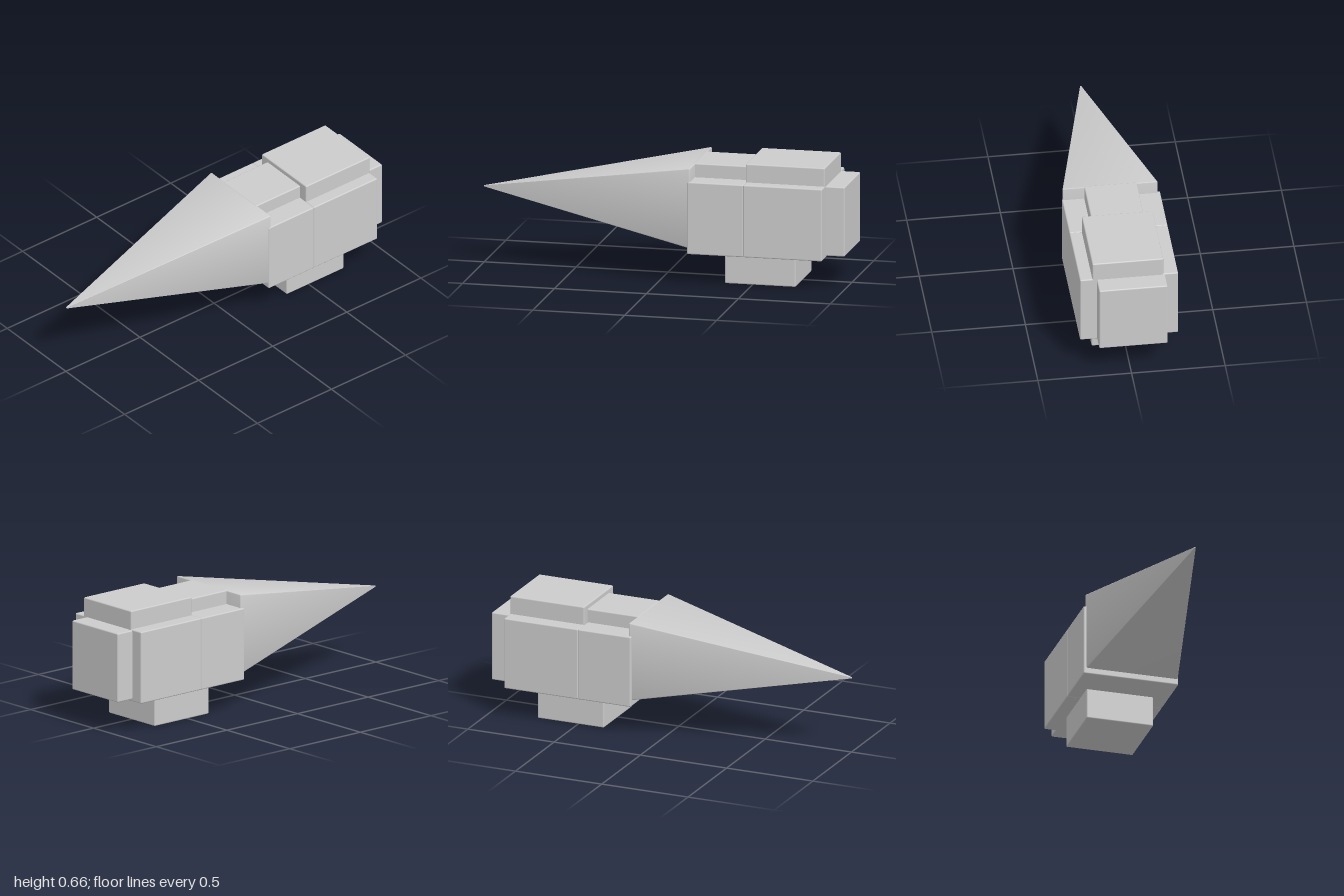
import * as THREE from 'three';
import { RoundedBoxGeometry } from 'three/addons/geometries/RoundedBoxGeometry.js';
import { toCreasedNormals } from 'three/addons/utils/BufferGeometryUtils.js';

const BEVEL = 0.007;

// Softly bevelled box given by its minimum and maximum corners
function bevelledBox([x0, y0, z0], [x1, y1, z1]) {
  const geo = new RoundedBoxGeometry(x1 - x0, y1 - y0, z1 - z0, 2, BEVEL);
  return geo.translate((x0 + x1) / 2, (y0 + y1) / 2, (z0 + z1) / 2);
}

// Bevelled box whose cross-section shrinks evenly to a tiny tip at the front
function taperedSpike(min, max, tip) {
  const geo = bevelledBox(min, max);
  const pos = geo.attributes.position;
  const cx = (min[0] + max[0]) / 2, cy = (min[1] + max[1]) / 2;
  for (let i = 0; i < pos.count; i++) {
    const t = (pos.getZ(i) - min[2]) / (max[2] - min[2]);
    const s = 1 - t * (1 - tip);
    pos.setX(i, cx + (pos.getX(i) - cx) * s);
    pos.setY(i, cy + (pos.getY(i) - cy) * s);
  }
  return toCreasedNormals(geo, 0.6);
}

export function createModel() {
  const model = new THREE.Group();
  model.name = 'blockBird';
  const grey = new THREE.MeshStandardMaterial({ color: 0xcccccc });
  grey.name = 'light grey';

  const add = (name, geo) => {
    const mesh = new THREE.Mesh(geo, grey);
    mesh.name = name;
    model.add(mesh);
  };

  // Blocks: name, minimum corner, maximum corner
  const blocks = [
    ['frontBody', [-0.263, 0.167, -0.47], [0.261, 0.56, -0.163]],
    ['rearBody', [-0.263, 0.167, -0.897], [0.261, 0.56, -0.468]],
    ['topBlock', [-0.184, 0.5, -0.897], [0.195, 0.66, -0.467]],
    ['frontRidge', [-0.138, 0.5, -0.48], [0.143, 0.635, -0.17]],
    ['rearBlock', [-0.193, 0.178, -1.0], [0.172, 0.556, -0.88]],
    ['base', [-0.19, 0, -0.735], [0.178, 0.18, -0.35]],
  ];
  for (const [name, min, max] of blocks) add(name, bevelledBox(min, max));

  // Long four-sided spike at the front
  add('spike', taperedSpike([-0.25, 0.197, -0.18], [0.26, 0.634, 1.0], 0.012));

  return model;
}
